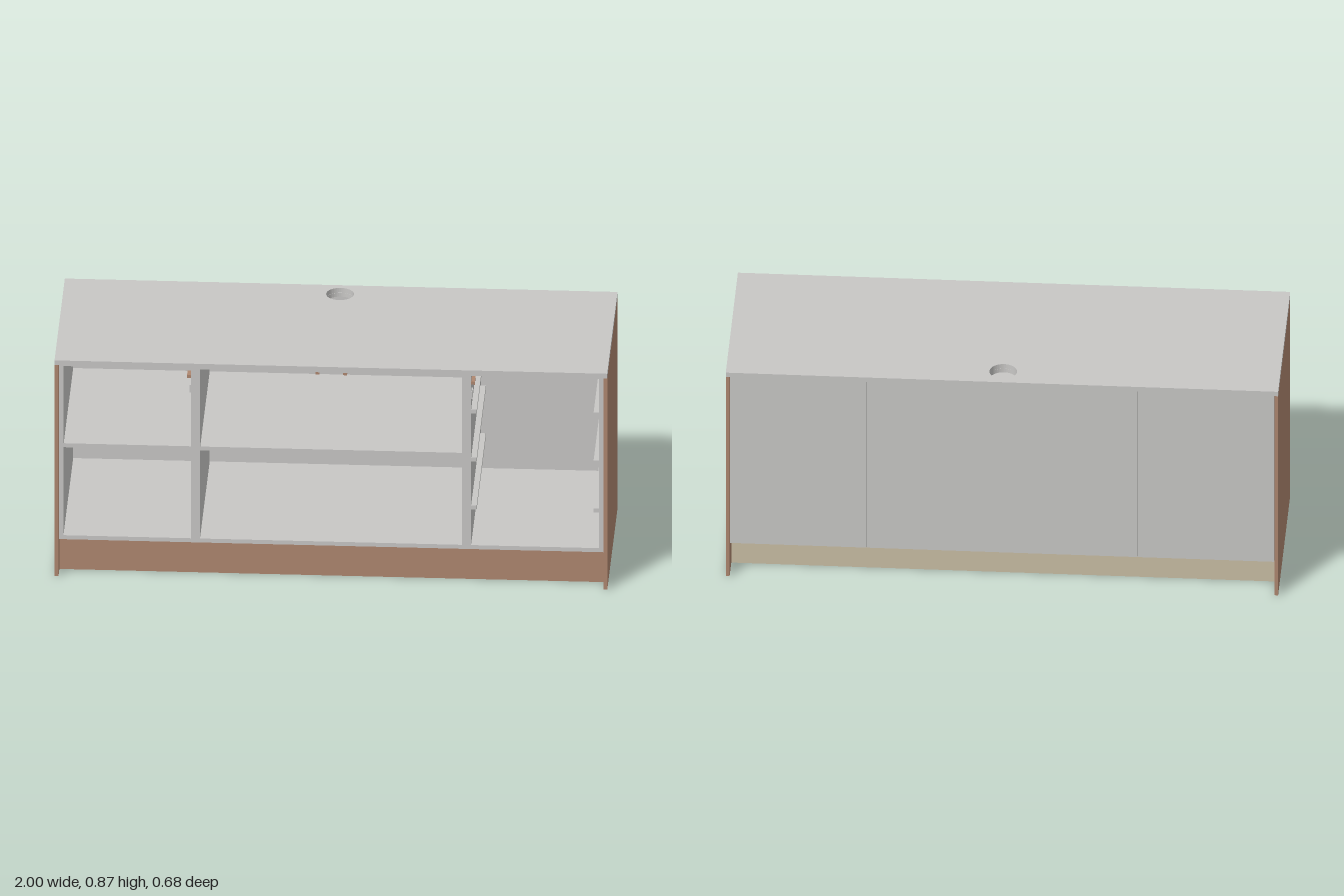
import * as THREE from 'three';

const material = (name, color) => {
  const m = new THREE.MeshStandardMaterial({ color });
  m.name = name;
  return m;
};

export function createModel() {
  const model = new THREE.Group();
  model.name = 'sideboardCabinet';
  const grey = material('greyLaminate', 0xc8c7c5);
  const wood = material('brownWood', 0xae866f);
  const beige = material('beigeBoard', 0xc9bea4);

  // Box given by its minimum and maximum on each axis
  function board(parent, name, mat, [x0, x1], [y0, y1], [z0, z1]) {
    const mesh = new THREE.Mesh(new THREE.BoxGeometry(x1 - x0, y1 - y0, z1 - z0), mat);
    mesh.position.set((x0 + x1) / 2, (y0 + y1) / 2, (z0 + z1) / 2);
    mesh.name = name;
    parent.add(mesh);
    return mesh;
  }

  // Horizontal board with the round cable hole
  function holedBoard(parent, name, [x0, x1], [y0, y1], [z0, z1]) {
    const shape = new THREE.Shape();
    shape.moveTo(x0, -z1);
    shape.lineTo(x1, -z1);
    shape.lineTo(x1, -z0);
    shape.lineTo(x0, -z0);
    shape.closePath();
    const hole = new THREE.Path();
    hole.absarc(0, 0.265, 0.05, 0, Math.PI * 2, true);
    shape.holes.push(hole);
    const geo = new THREE.ExtrudeGeometry(shape, { depth: y1 - y0, bevelEnabled: false, curveSegments: 24 });
    geo.rotateX(-Math.PI / 2);
    const mesh = new THREE.Mesh(geo, grey);
    mesh.position.y = y0;
    mesh.name = name;
    parent.add(mesh);
  }

  const T = 0.016, BOTTOM = 0.14, TOP = 0.852, BACK = -0.333, FRONT = 0.311;
  const INNER_BACK = BACK + 0.008;

  // Worktop and outer side panels
  holedBoard(model, 'worktop', [-1, 1], [TOP, 0.871], [-0.3375, 0.3375]);
  board(model, 'rightSidePanel', wood, [-1, -0.986], [0, TOP], [-0.3375, 0.33]);
  board(model, 'leftSidePanel', wood, [0.986, 1], [0, TOP], [-0.3375, 0.33]);

  // Open compartments: walls, floor, ceiling and back
  function carcass(name, x0, x1, hasHole) {
    const g = new THREE.Group();
    g.name = name;
    model.add(g);
    const depth = [INNER_BACK, FRONT], inside = [x0 + T, x1 - T];
    board(g, 'wall', grey, [x0, x0 + T], [BOTTOM, TOP], depth);
    board(g, 'wall', grey, [x1 - T, x1], [BOTTOM, TOP], depth);
    board(g, 'floor', grey, inside, [BOTTOM, BOTTOM + T], depth);
    if (hasHole) holedBoard(g, 'ceiling', inside, [TOP - T, TOP - 0.0005], depth);
    else board(g, 'ceiling', grey, inside, [TOP - T, TOP], depth);
    board(g, 'backPanel', grey, [x0, x1], [BOTTOM, TOP], [BACK, INNER_BACK]);
    return g;
  }
  const rightUnit = carcass('rightCompartment', -0.985, -0.492, false);
  const middleUnit = carcass('middleCompartment', -0.491, 0.489, true);
  const leftUnit = carcass('leftCompartment', 0.49, 0.985, false);

  // Shelves
  board(rightUnit, 'shelf', grey, [-0.969, -0.508], [0.502, 0.518], [INNER_BACK, 0.295]);
  board(middleUnit, 'shelf', grey, [-0.475, 0.473], [0.502, 0.518], [INNER_BACK, 0.295]);

  // Drawer runners on both walls
  for (const y of [0.305, 0.497, 0.69]) {
    board(leftUnit, 'drawerRunner', grey, [0.506, 0.526], [y - 0.008, y + 0.008], [-0.29, 0.305]);
    board(leftUnit, 'drawerRunner', grey, [0.949, 0.969], [y - 0.008, y + 0.008], [-0.29, 0.305]);
  }

  // Door catches and their small plates
  board(rightUnit, 'catch', wood, [-0.522, -0.508], [0.798, 0.81], [0.27, 0.308]);
  board(leftUnit, 'catch', wood, [0.506, 0.519], [0.798, 0.81], [0.25, 0.305]);
  for (const x of [-0.05, 0.05])
    board(middleUnit, 'catch', wood, [x - 0.007, x + 0.007], [0.825, 0.836], [0.285, 0.308]);
  board(rightUnit, 'catchPlate', grey, [-0.513, -0.508], [0.74, 0.77], [0.27, 0.305]);
  board(leftUnit, 'catchPlate', grey, [0.506, 0.511], [0.74, 0.77], [0.27, 0.305]);

  // Plinth: front and rear boards with cross ribs
  board(model, 'frontPlinth', wood, [-0.986, 0.986], [0, BOTTOM], [0.254, 0.27]);
  board(model, 'rearPlinth', beige, [-0.986, 0.986], [0, BOTTOM], [-0.245, -0.229]);
  for (const x of [-0.977, -0.495, 0.49, 0.977])
    board(model, 'plinthRib', beige, [x - 0.008, x + 0.008], [0, BOTTOM], [-0.229, 0.254]);

  return model;
}
